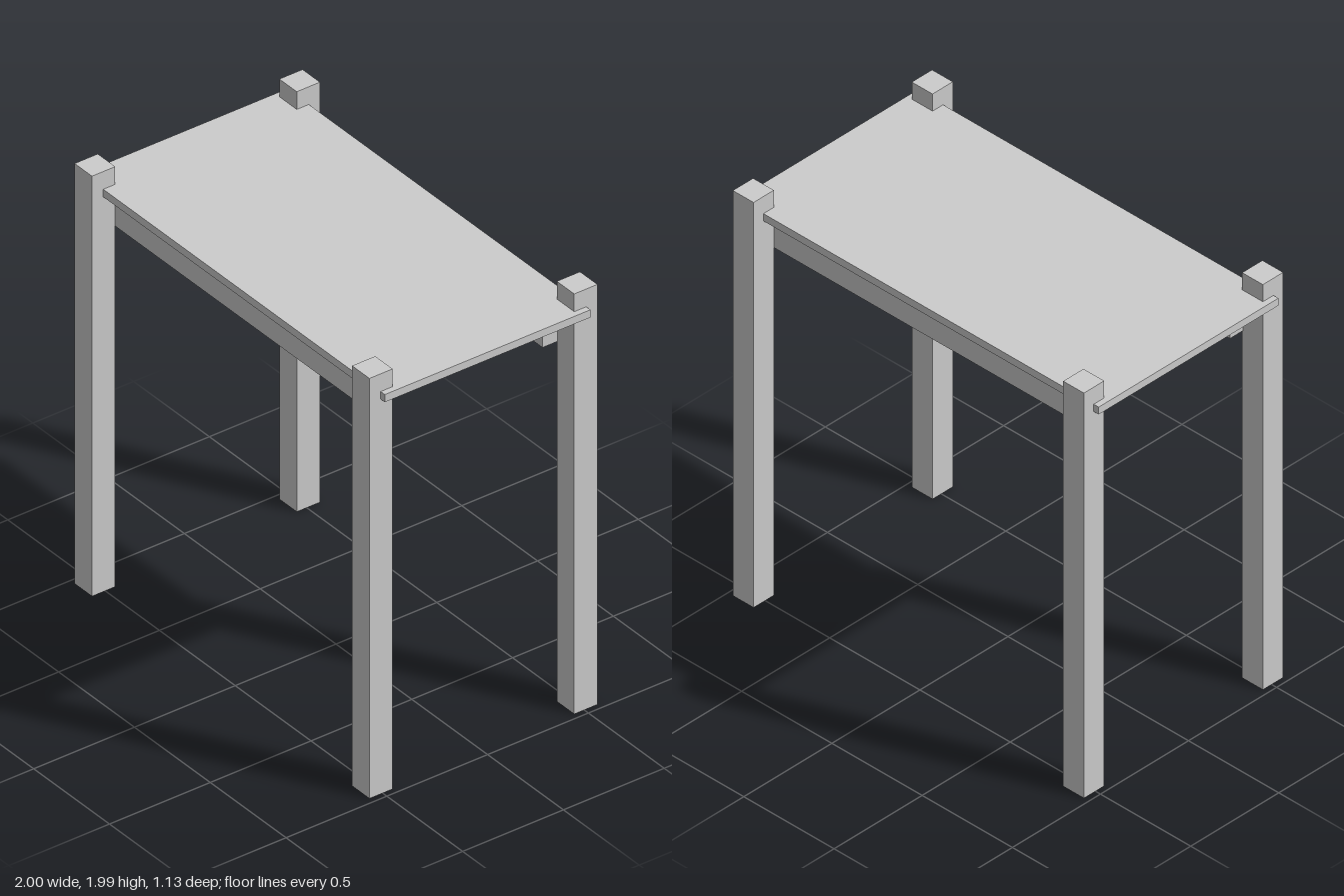
import * as THREE from 'three';

export function createModel() {
  const model = new THREE.Group();
  const material = new THREE.MeshStandardMaterial({ color: 0xcccccc, flatShading: true });

  const addBox = (name, [w, h, d], [x, y, z]) => {
    const mesh = new THREE.Mesh(new THREE.BoxGeometry(w, h, d), material);
    mesh.name = name;
    mesh.position.set(x, y, z);
    model.add(mesh);
  };

  // Thin table top, notched into the posts
  addBox('tableTop', [2, 0.036, 1.02], [0, 1.89, 0]);

  for (const [end, sz] of [['front', 1], ['back', -1]]) {
    // Long rail on the inner side of the legs
    addBox(`${end}Rail`, [1.726, 0.12, 0.075], [0, 1.77, sz * 0.413]);

    // Square legs rising past the top
    for (const [side, sx] of [['Left', 1], ['Right', -1]]) {
      addBox(`${end}${side}Leg`, [0.115, 1.992, 0.115], [sx * 0.915, 0.996, sz * 0.508]);
    }
  }
  return model;
}
